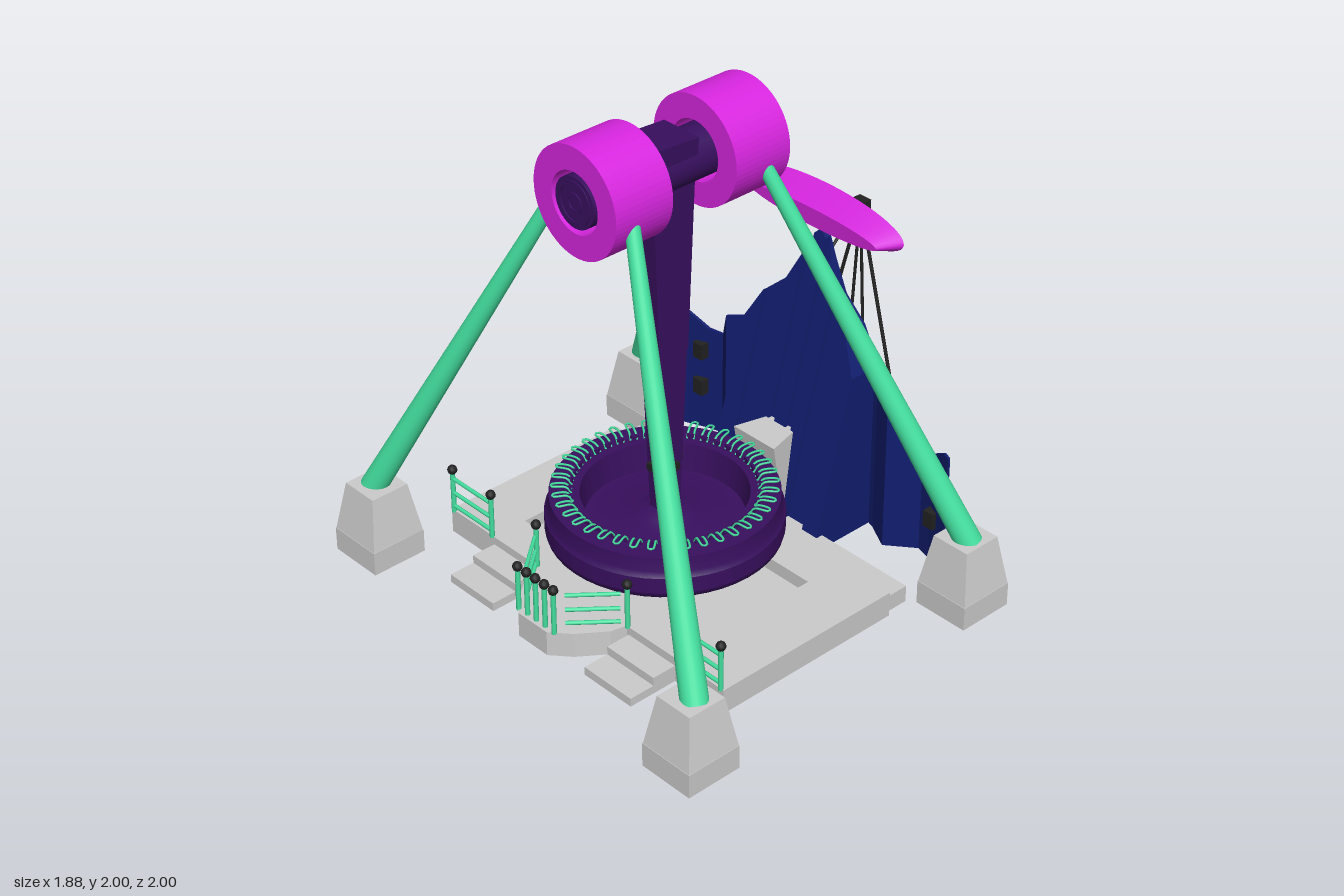
import * as THREE from 'three';

const mat = (color) => new THREE.MeshStandardMaterial({ color, side: THREE.DoubleSide });
const grey = mat(0xcccccc), magenta = mat(0xd826e0), purple = mat(0x380f5e);
const green = mat(0x44e0a0), blue = mat(0x111d6e), black = mat(0x222222);
const CX = -0.135; // pendulum centre line

export function createModel() {
  const root = new THREE.Group();
  const add = (name, geo, m, parent = root) => {
    const mesh = new THREE.Mesh(geo, m);
    mesh.name = name;
    parent.add(mesh);
    return mesh;
  };
  // Box given by its limits
  const box = (name, m, x0, x1, y0, y1, z0, z1, parent = root) => {
    const b = add(name, new THREE.BoxGeometry(x1 - x0, y1 - y0, z1 - z0), m, parent);
    b.position.set((x0 + x1) / 2, (y0 + y1) / 2, (z0 + z1) / 2);
    return b;
  };
  // Box whose corners are placed by a rule; u, v, w are 0 or 1
  const warp = (name, m, rule) => {
    const g = new THREE.BoxGeometry(1, 1, 1).toNonIndexed(), p = g.attributes.position;
    for (let i = 0; i < p.count; i++) p.setXYZ(i, ...rule(p.getX(i) + 0.5, p.getY(i) + 0.5, p.getZ(i) + 0.5));
    g.computeVertexNormals();
    return add(name, g, m);
  };
  // Round bar between two points
  const bar = (name, m, a, b, r0, r1 = r0, sides = 8, parent = root) => {
    const A = new THREE.Vector3(...a), d = new THREE.Vector3(...b).sub(A);
    const c = add(name, new THREE.CylinderGeometry(r1, r0, d.length(), sides), m, parent);
    c.position.copy(A).addScaledVector(d, 0.5);
    c.quaternion.setFromUnitVectors(new THREE.Vector3(0, 1, 0), d.normalize());
    return c;
  };
  // Plan outline in x, z raised from y0 to y1
  const path = (pts, C) => new C(pts.map(([x, z]) => new THREE.Vector2(x, -z)));
  const plan = (name, m, pts, y0, y1, hole) => {
    const s = path(pts, THREE.Shape);
    if (hole) s.holes.push(path(hole, THREE.Path));
    const g = new THREE.ExtrudeGeometry(s, { depth: y1 - y0, bevelEnabled: false });
    return add(name, g.rotateX(-Math.PI / 2).translate(0, y0, 0), m);
  };
  const lathe = (name, m, pts, seg = 48) =>
    add(name, new THREE.LatheGeometry(pts.map((p) => new THREE.Vector2(...p)), seg), m);
  const ringProfile = (r0, r1, h) => {
    const s = new THREE.Shape().absarc(0, 0, r1, 0, Math.PI * 2);
    s.holes.push(new THREE.Path().absarc(0, 0, r0, 0, Math.PI * 2));
    return new THREE.ExtrudeGeometry(s, { depth: h, bevelEnabled: false, curveSegments: 32 }).rotateY(Math.PI / 2);
  };

  // Four footings and legs
  for (const side of [-1, 1]) for (const end of [-1, 1]) {
    const x = CX + 0.01 + side * 0.695, z = end * 0.88;
    box('footingBase', grey, x - 0.12, x + 0.12, 0, 0.1, z - 0.12, z + 0.12);
    warp('footing', grey, (u, v, w) => {
      const h = v ? 0.083 : 0.118;
      return [x + (2 * u - 1) * h, v ? 0.31 : 0.1, z + (2 * w - 1) * h];
    });
    bar('leg', green, [x, 0.29, end * 0.9], [CX + side * 0.315, 1.73, end * 0.19], 0.052, 0.028, 24);
    const cap = add('legCap', new THREE.SphereGeometry(0.028, 16, 10), green);
    cap.position.set(CX + side * 0.315, 1.73, end * 0.19);
  }

  // Bearing drums and axle
  for (const x of [-0.545, 0.015]) add('drum', ringProfile(0.12, 0.215, 0.26), magenta).position.set(x, 1.785, 0);
  bar('axle', purple, [-0.545, 1.785, 0], [0.275, 1.785, 0], 0.1, 0.1, 32);
  for (const x of [-0.55, 0.265]) {
    add('axleRim', ringProfile(0.07, 0.085, 0.015), purple).position.set(x, 1.785, 0);
    add('axleHub', ringProfile(0.025, 0.04, 0.015), purple).position.set(x, 1.785, 0);
  }
  const lid = box('axleLid', purple, -0.23, -0.05, 1.82, 1.9, -0.09, 0.09);
  lid.rotation.z = -0.06;

  // Swinging arm
  const arm = (name, y0, y1, a, b, c, d) => warp(name, purple, (u, v, w) =>
    [CX + (2 * u - 1) * (v ? b : a), v ? y1 : y0, (2 * w - 1) * (v ? d : c)]);
  arm('armUpper', 1.02, 1.76, 0.07, 0.1, 0.052, 0.058);
  arm('armLower', 0.26, 1.025, 0.038, 0.067, 0.038, 0.05);
  for (const s of [-1, 1]) {
    box('armClamp', black, CX + s * 0.058 - 0.015, CX + s * 0.058 + 0.015, 0.52, 0.55, -0.02, 0.02);
    box('armClampSide', black, CX - 0.02, CX + 0.02, 0.52, 0.55, s * 0.05 - 0.012, s * 0.05 + 0.012);
  }

  // Passenger ring
  const rings = [
    ['gondolaLower', [[0, 0.225], [0.41, 0.225], [0.45, 0.24], [0.455, 0.26]]],
    ['gondolaWall', [[0.455, 0.26], [0.455, 0.325]]],
    ['gondolaUpper', [[0.455, 0.325], [0.44, 0.345], [0.437, 0.405]]],
    ['gondolaRim', [[0.437, 0.405], [0.32, 0.405]]],
    ['gondolaInside', [[0.32, 0.405], [0.305, 0.29]]],
    ['gondolaFloor', [[0.305, 0.29], [0.12, 0.29], [0.1, 0.33], [0, 0.34]]],
  ];
  for (const [name, pts] of rings) lathe(name, purple, pts).position.x = CX;
  bar('gondolaUnderplate', black, [CX, 0.2, 0], [CX, 0.226, 0], 0.18, 0.2, 32);
  bar('driveMotor', green, [CX, 0.1, 0], [CX, 0.2, 0], 0.022, 0.022, 16);
  const wheel = add('driveWheel', new THREE.TorusGeometry(0.03, 0.016, 10, 20), green);
  wheel.position.set(CX, 0.155, 0.03);

  // Seats with restraint hoops
  const hoop = new THREE.TubeGeometry(new THREE.CatmullRomCurve3([
    [0.35, 0.408, -0.013], [0.37, 0.434, -0.012], [0.425, 0.436, -0.008],
    [0.425, 0.436, 0.008], [0.37, 0.434, 0.012], [0.35, 0.408, 0.013],
  ].map((p) => new THREE.Vector3(...p))), 16, 0.0045, 5);
  for (let i = 0; i < 40; i++) {
    const seat = new THREE.Group();
    seat.name = 'seat';
    seat.position.x = CX;
    seat.rotation.y = ((i + 0.5) / 40) * Math.PI * 2;
    add('restraint', hoop, green, seat);
    box('seatBack', purple, 0.35, 0.365, 0.4, 0.428, -0.014, 0.014, seat);
    root.add(seat);
  }

  // Platform with recessed pit and steps
  const rect = (x0, x1, z) => [[x0, -z], [x1, -z], [x1, z], [x0, z]];
  plan('platformBase', grey, rect(-0.555, 0.295, 0.765), 0.02, 0.07);
  plan('platformDeck', grey, rect(-0.555, 0.295, 0.765), 0.07, 0.125, [
    [-0.4, -0.51], [-0.2, -0.51], [-0.17, -0.47], [-0.09, -0.47], [-0.06, -0.51], [0.12, -0.51],
    [0.12, 0.51], [-0.4, 0.51]]);
  box('sideStep', grey, 0.295, 0.405, 0.02, 0.09, -0.745, 0.745);
  plan('frontNose', grey, [[-0.555, -0.25], [-0.62, -0.235], [-0.73, -0.155], [-0.795, -0.08],
    [-0.795, 0.08], [-0.73, 0.155], [-0.62, 0.235], [-0.555, 0.25]], 0.02, 0.125);
  for (const s of [-1, 1]) {
    const z0 = s > 0 ? 0.26 : -0.51;
    box('entryStepLow', grey, -0.77, -0.555, 0.02, 0.055, z0, z0 + 0.25);
    box('entryStepHigh', grey, -0.66, -0.555, 0.055, 0.09, z0, z0 + 0.25);
  }

  // Fences
  const post = (x, z) => {
    bar('fencePost', green, [x, 0.12, z], [x, 0.31, z], 0.01);
    add('fenceFinial', new THREE.SphereGeometry(0.02, 8, 6), black).position.set(x, 0.315, z);
  };
  const fence = (x0, z0, x1, z1) => {
    for (const y of [0.15, 0.21, 0.275]) bar('fenceRail', green, [x0, y, z0], [x1, y, z1], 0.008);
  };
  for (const s of [-1, 1]) {
    for (const z of [0.75, 0.52, 0.255]) post(-0.555, s * z);
    fence(-0.555, s * 0.75, -0.555, s * 0.52);
    fence(-0.575, s * 0.24, -0.73, s * 0.11);
    post(-0.775, s * 0.1);
    post(-0.775, s * 0.05);
  }
  post(-0.775, 0);

  // Mountain facade: leaning planks under a stepped ridge
  const ridge = [[0, 1.22], [0.03, 1.19], [0.06, 1.11], [0.12, 0.98], [0.22, 0.89], [0.3, 0.74]];
  const lean = (y) => 0.36 + 0.256 * (y - 0.03);
  for (const s of [-1, 1]) {
    for (let i = 0; i < ridge.length - 1; i++) {
      const [z0, h0] = ridge[i], [z1, h1] = ridge[i + 1], out = (i % 2) * 0.025;
      warp('facadePlank', blue, (u, v, w) => {
        const far = s > 0 ? w : 1 - w;
        const y = v ? (far ? h1 : h0) : 0.025;
        return [u ? 0.688 : lean(y) + out, y, s * (far ? z1 : z0)];
      });
    }
    // Folded side wings
    const wing = [[0.3, 0.67, 0.74], [0.33, 0.66, 0.69], [0.44, 0.6, 0.67], [0.55, 0.688, 0.495],
      [0.615, 0.67, 0.5], [0.7, 0.635, 0.56], [0.735, 0.62, 0.56]];
    for (let i = 0; i < wing.length - 1; i++) warp('facadeWing', blue, (u, v, w) => {
      const [z, x, h] = wing[i + (s > 0 ? w : 1 - w)];
      return [x + (u - 0.5) * 0.012, v ? h : 0.025, s * z];
    });
    box('wingStrip', grey, 0.675, 0.692, 0.18, 0.49, s * 0.64 - 0.02, s * 0.64 + 0.02);
    for (const y of [0.23, 0.4])
      box('wingSpeaker', black, 0.625, 0.665, y - 0.035, y + 0.035, s * 0.64 - 0.025, s * 0.64 + 0.025);
  }

  // Operator booth, door, stairs and canopy
  warp('booth', grey, (u, v, w) => [u ? 0.48 : v ? 0.325 : 0.385, v ? 0.43 : 0.09,
    (2 * w - 1) * (u ? 0.07 : 0.11)]);
  for (const s of [-1, 1]) box('doorJamb', grey, 0.68, 0.705, 0.03, 0.43, s * 0.105 - 0.008, s * 0.105 + 0.008);
  box('doorLintel', grey, 0.68, 0.705, 0.415, 0.432, -0.11, 0.11);
  box('door', grey, 0.68, 0.697, 0.1, 0.415, -0.1, 0.1);
  add('doorKnob', new THREE.SphereGeometry(0.01, 10, 8), grey).position.set(0.705, 0.25, -0.07);
  [[0.79, 0.105], [0.85, 0.075], [0.91, 0.045]].forEach(([x, y]) =>
    box('stair', grey, 0.685, x, 0.025, y, -0.112, 0.112));
  box('canopy', grey, 0.69, 0.94, 0.42, 0.433, -0.11, 0.11);

  // Rear sign frame
  const top = [0.875, 1.245, 0];
  box('frameHead', black, 0.85, 0.9, 1.225, 1.265, -0.03, 0.03);
  bar('frameBeam', black, [0.69, 1.245, 0], top, 0.007);
  bar('frameBrace', black, [0.69, 1.08, 0], [0.85, 1.235, 0], 0.006);
  for (const s of [-1, 1]) {
    bar('frameLeg', black, top, [0.875, 0.035, s * 0.325], 0.007);
    box('frameFoot', black, 0.85, 0.9, 0.02, 0.035, s * 0.325 - 0.02, s * 0.325 + 0.02);
    bar('canopyStay', black, top, [0.875, 0.43, s * 0.05], 0.006);
    bar('canopyBrace', black, [0.695, 0.26, s * 0.1], [0.85, 0.42, s * 0.1], 0.006);
  }

  // Oval dish-shaped sign board, smaller and lower toward the inside
  const sign = new THREE.CylinderGeometry(1, 1, 1, 48), p = sign.attributes.position;
  for (let i = 0; i < p.count; i++) {
    const a = p.getX(i), b = p.getZ(i), back = p.getY(i) > 0;
    if (back) p.setXYZ(i, 0.688 + b * 0.006, 1.305 + b * 0.095, a * 0.4);
    else p.setXYZ(i, 0.615 - b * 0.003, 1.285 + b * 0.04, a * 0.33);
  }
  sign.computeVertexNormals();
  add('signBoard', sign, magenta);

  return root;
}
